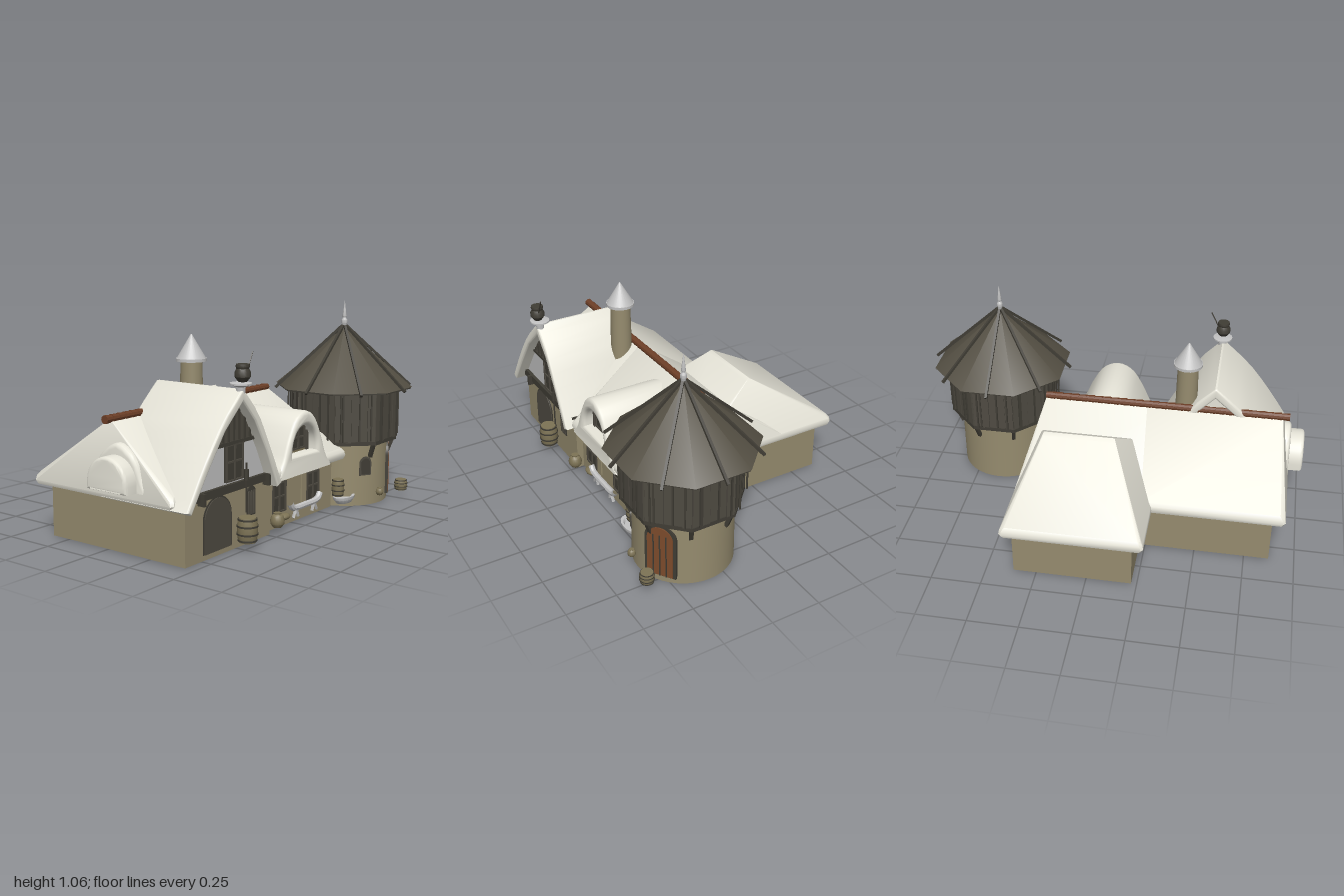
import * as THREE from 'three';
import { toCreasedNormals } from 'three/addons/utils/BufferGeometryUtils.js';
import { ConvexGeometry } from 'three/addons/geometries/ConvexGeometry.js';

const mat = (name, color, side = THREE.FrontSide) => {
  const m = new THREE.MeshStandardMaterial({ color, side });
  m.name = name;
  return m;
};
const wall = mat('tan wall', 0x958b6e, THREE.DoubleSide);
const thatch = mat('pale roof', 0xe6e4d8);
const silver = mat('light grey', 0xc2c2c2);
const timber = mat('dark timber', 0x403d35);
const shingle = mat('tower shingle', 0x544f43);
const plank = mat('tower plank', 0x4f4b42);
const doorWood = mat('door brown', 0x7d4c2c);
const logWood = mat('ridge brown', 0x6d3f27);
const barrelWood = mat('barrel wood', 0x7d7355);

const V = (x, y, z) => new THREE.Vector3(x, y, z);
const V2 = (x, y) => new THREE.Vector2(x, y);

function add(parent, name, geo, material, x = 0, y = 0, z = 0) {
  const m = new THREE.Mesh(toCreasedNormals(geo, 0.6), material);
  m.name = name;
  m.position.set(x, y, z);
  parent.add(m);
  return m;
}
function group(parent, name, x = 0, y = 0, z = 0, ry = 0) {
  const g = new THREE.Group();
  g.name = name;
  g.position.set(x, y, z);
  g.rotation.y = ry;
  parent.add(g);
  return g;
}
// box given by its extents
const box = (p, name, m, x0, x1, y0, y1, z0, z1) => add(p, name,
  new THREE.BoxGeometry(x1 - x0, y1 - y0, z1 - z0), m, (x0 + x1) / 2, (y0 + y1) / 2, (z0 + z1) / 2);
const cyl = (p, name, m, r0, r1, h, x, y, z, n = 24) =>
  add(p, name, new THREE.CylinderGeometry(r1, r0, h, n), m, x, y + h / 2, z);
const lathe = (p, name, m, pts, x, y, z, n = 16) =>
  add(p, name, new THREE.LatheGeometry(pts.map(a => V2(...a)), n), m, x, y, z);
// extrude along z between z0 and z1, bevel included
function slab(p, name, m, shape, z0, z1, b = 0) {
  const geo = new THREE.ExtrudeGeometry(shape, {
    depth: z1 - z0 - 2 * b, curveSegments: 10, bevelEnabled: b > 0,
    bevelThickness: b, bevelSize: b, bevelOffset: -b, bevelSegments: 3 });
  return add(p, name, geo, m, 0, 0, z0 + b);
}
// square beam between two points
function beam(p, name, m, a, b, w) {
  const mesh = add(p, name, new THREE.BoxGeometry(w, w, a.distanceTo(b)), m);
  mesh.position.copy(a).add(b).multiplyScalar(0.5);
  mesh.quaternion.setFromUnitVectors(V(0, 0, 1), b.clone().sub(a).normalize());
  return mesh;
}
// upright arch, base centre at (x, y)
function arch(x, y, w, h, rise, Type = THREE.Shape) {
  const s = new Type();
  s.moveTo(x - w / 2, y);
  s.lineTo(x + w / 2, y);
  s.lineTo(x + w / 2, y + h - rise);
  s.absellipse(x, y + h - rise, w / 2, rise, 0, Math.PI, false);
  s.closePath();
  return s;
}
// bell-shaped dormer outline from its left half
function bell(half, cx) {
  const pts = half.concat(half.slice(0, -1).reverse().map(([x, y]) => [-x, y]));
  return new THREE.Shape(new THREE.SplineCurve(pts.map(([x, y]) => V2(x + cx, y))).getPoints(28));
}
// hipped roof with a soft eave roll
function hipRoof(p, name, x0, x1, z0, z1, rx0, rx1, rz, ry) {
  const pts = [], cx = (x0 + x1) / 2;
  for (const [y, inset] of [[0.258, 0.03], [0.266, 0.008], [0.285, 0], [0.305, 0.004], [0.322, 0.016]])
    for (const x of [x0 + inset, x1 - inset])
      for (const z of [z0 + inset, z1 - inset])
        for (const [dx, dz] of [[0.012, 0], [0, 0.012]])
          pts.push(V(x + dx * Math.sign(cx - x), y, z + dz * Math.sign(rz - z)));
  for (const x of [rx0, rx1])
    for (const [dz, dy] of [[-0.02, 0.012], [0, 0], [0.02, 0.012]]) pts.push(V(x, ry - dy, rz + dz));
  return add(p, name, new ConvexGeometry(pts), thatch);
}
function barrel(p, x, y, z, r, h) {
  const g = group(p, 'barrel', x, y, z);
  lathe(g, 'barrelStaves', barrelWood, [[0, 0], [r * 0.8, 0], [r * 0.95, h * 0.3], [r * 0.95, h * 0.7], [r * 0.8, h], [0, h]], 0, 0, 0);
  for (const [t, k] of [[0.08, 0.9], [0.34, 1], [0.66, 1], [0.92, 0.9]])
    cyl(g, 'barrelHoop', timber, r * k, r * k, h * 0.07, 0, h * (t - 0.035), 0, 16);
}
const jar = (p, x, y, z, r) => lathe(p, 'jar', barrelWood,
  [[0, 0], [r * 0.6, 0], [r * 0.95, r * 0.5], [r, r], [r * 0.8, r * 1.6], [r * 0.5, r * 1.85], [r * 0.55, r * 2], [0, r * 2]], x, y, z);

// window with dark pane and mullions
function casement(p, x, y, z, w, h) {
  const g = group(p, 'window', x, y, z);
  box(g, 'pane', timber, -w / 2, w / 2, 0, h, -0.014, 0.004);
  for (const i of [-1, 0, 1]) box(g, 'mullion', plank, i * w * 0.46 - 0.005, i * w * 0.46 + 0.005, 0, h, 0, 0.01);
  for (const t of [0, 0.5, 0.95]) box(g, 'windowBar', plank, -w / 2, w / 2, h * t, h * t + 0.008, 0, 0.01);
}

function buildHouse(root) {
  const g = group(root, 'house');
  // hollow wall shell, open underneath
  const plan = [[-0.87, 0.455], [-0.25, 0.455], [-0.25, 0.42], [0.36, 0.42], [0.36, -0.63], [-0.22, -0.63], [-0.22, -0.34], [-0.87, -0.34]];
  plan.forEach(([x, z], i) => {
    const [u, w] = plan[(i + 1) % plan.length], t = 0.003;
    box(g, 'wall', wall, Math.min(x, u) - t, Math.max(x, u) + t, 0.01, 0.29, Math.min(z, w) - t, Math.max(z, w) + t);
  });
  box(g, 'ceiling', silver, -0.868, 0.358, 0.25, 0.26, -0.338, 0.418);
  box(g, 'gableCeiling', silver, -0.868, -0.252, 0.25, 0.26, 0.418, 0.453);
  box(g, 'wingCeiling', silver, -0.218, 0.358, 0.25, 0.26, -0.628, -0.338);
  hipRoof(g, 'mainRoofLeft', -0.935, -0.2, -0.4, 0.44, -0.88, -0.2, 0.04, 0.61);
  hipRoof(g, 'mainRoofRight', -0.25, 0.41, -0.4, 0.485, -0.3, 0.32, 0.04, 0.61);
  hipRoof(g, 'backWingRoof', -0.285, 0.41, -0.7, 0.16, -0.08, 0.27, -0.265, 0.6);

  // ridge covering in short overlapping lengths
  const n = 30, step = 1.23 / n;
  for (let i = 0; i < n; i++) {
    const m = add(g, 'ridgeCap', new THREE.CylinderGeometry(0.02, 0.017, step * 1.15, 10), logWood, -0.91 + (i + 0.5) * step, 0.612, 0.04);
    m.rotation.z = Math.PI / 2;
  }
  // chimney
  cyl(g, 'chimney', wall, 0.058, 0.052, 0.4, -0.39, 0.43, 0.105);
  cyl(g, 'chimneyRim', silver, 0.073, 0.073, 0.014, -0.39, 0.824, 0.105);
  cyl(g, 'chimneyCap', silver, 0.07, 0.003, 0.113, -0.39, 0.837, 0.105);

  // ground floor windows with shutters
  for (const x of [-0.125, 0.175]) {
    casement(g, x, 0.085, 0.424, 0.115, 0.15);
    for (const s of [-1, 1]) box(g, 'shutter', wall, x + s * 0.08 - 0.02, x + s * 0.08 + 0.02, 0.08, 0.24, 0.42, 0.43);
  }
}

function buildFrontGable(root) {
  const g = group(root, 'frontGable');
  // bowed roof band
  const outer = new THREE.SplineCurve([V2(-0.93, 0.27), V2(-0.82, 0.44), V2(-0.69, 0.61), V2(-0.545, 0.745)]).getPoints(8)
    .concat(new THREE.SplineCurve([V2(-0.535, 0.745), V2(-0.42, 0.62), V2(-0.32, 0.44), V2(-0.23, 0.27)]).getPoints(8));
  const inner = [V2(-0.265, 0.255), V2(-0.355, 0.44), V2(-0.45, 0.595), V2(-0.54, 0.69), V2(-0.67, 0.575), V2(-0.795, 0.41), V2(-0.9, 0.255)];
  slab(g, 'gableRoof', thatch, new THREE.Shape([...outer, ...inner]), 0.02, 0.52, 0.01);
  slab(g, 'gableBack', thatch, new THREE.Shape([V2(-0.355, 0.44), V2(-0.45, 0.595), V2(-0.54, 0.69), V2(-0.67, 0.575), V2(-0.795, 0.41)]), 0.042, 0.06);
  slab(g, 'plaster', silver, new THREE.Shape([V2(-0.265, 0.28), V2(-0.385, 0.5), V2(-0.725, 0.5), V2(-0.885, 0.28)]), 0.42, 0.458);
  slab(g, 'gableBoards', plank, new THREE.Shape([V2(-0.37, 0.5), V2(-0.45, 0.6), V2(-0.54, 0.7), V2(-0.67, 0.58), V2(-0.74, 0.5)]), 0.42, 0.464);
  for (let x = -0.7; x < -0.39; x += 0.04)
    box(g, 'gableBatten', timber, x - 0.005, x + 0.005, 0.5, 0.69 - Math.abs(x + 0.54), 0.455, 0.47);
  box(g, 'gableBeam', timber, -0.87, -0.25, 0.283, 0.32, 0.44, 0.475);
  box(g, 'upperBeam', timber, -0.74, -0.37, 0.495, 0.512, 0.44, 0.472);
  for (const x of [-0.78, -0.3]) box(g, 'bracket', timber, x - 0.008, x + 0.008, 0.265, 0.32, 0.45, 0.495);
  casement(g, -0.535, 0.33, 0.462, 0.13, 0.17);
  // arched cart door and small arched window
  slab(g, 'archedDoor', timber, arch(-0.65, 0.035, 0.205, 0.248, 0.1), 0.445, 0.461);
  slab(g, 'archedDoorBoards', plank, arch(-0.65, 0.035, 0.19, 0.24, 0.093), 0.459, 0.465);
  slab(g, 'archedWindow', timber, arch(-0.4, 0.14, 0.065, 0.14, 0.035), 0.445, 0.463);
  for (const x of [-0.42, -0.4, -0.38]) slab(g, 'lancetPane', plank, arch(x, 0.147, 0.013, 0.11, 0.007), 0.461, 0.467);
  // hanging lantern
  box(g, 'lanternRod', timber, -0.468, -0.462, 0.17, 0.4, 0.478, 0.484);
  cyl(g, 'lantern', timber, 0.011, 0.011, 0.05, -0.465, 0.32, 0.481, 8);
  // pot on the gable peak
  lathe(g, 'peakCollar', silver, [[0, 0.72], [0.02, 0.72], [0.022, 0.755], [0.05, 0.765], [0.05, 0.772], [0, 0.782]], -0.535, 0, 0.5);
  lathe(g, 'peakPot', timber, [[0, 0.776], [0.02, 0.778], [0.036, 0.8], [0.036, 0.82], [0.028, 0.836], [0.032, 0.845], [0.03, 0.856], [0, 0.856]], -0.535, 0, 0.51);
  beam(g, 'peakStick', timber, V(-0.51, 0.82, 0.515), V(-0.468, 0.905, 0.515), 0.005);
}

function buildDormers(root) {
  // eyebrow dormer running back into the main roof
  const g = group(root, 'eyebrowDormer');
  const front = bell([[-0.25, 0.265], [-0.19, 0.33], [-0.14, 0.44], [-0.08, 0.535], [0, 0.57]], 0.02);
  front.holes.push(arch(0.02, 0.36, 0.22, 0.14, 0.125, THREE.Path));
  slab(g, 'dormerRoof', thatch, front, 0.08, 0.488, 0.02);
  slab(g, 'dormerWall', barrelWood, arch(0.02, 0.34, 0.27, 0.18, 0.15), 0.42, 0.43);
  casement(g, 0.02, 0.375, 0.434, 0.12, 0.11);
  for (const s of [-1, 1]) box(g, 'dormerPost', plank, 0.02 + s * 0.085 - 0.008, 0.02 + s * 0.085 + 0.008, 0.36, 0.46, 0.43, 0.44);
  // rounded dormer on the end wall, facing -x
  const e = group(root, 'endDormer', 0, 0, 0.12, -Math.PI / 2);
  slab(e, 'endDormerFlare', thatch, bell([[-0.2, 0.28], [-0.15, 0.36], [-0.1, 0.46], [0, 0.52]], 0), 0.82, 0.93, 0.02);
  const ring = arch(0, 0.315, 0.235, 0.155, 0.12);
  ring.holes.push(arch(0, 0.335, 0.15, 0.105, 0.08, THREE.Path));
  slab(e, 'endDormerRoof', thatch, ring, 0.82, 1, 0.015);
  slab(e, 'endDormerPane', silver, arch(0, 0.33, 0.16, 0.12, 0.08), 0.955, 0.964);
}

function buildTower(root) {
  const g = group(root, 'tower', 0.625, 0, 0.33);
  const eighth = Math.PI / 4, corner = 1 / Math.cos(eighth / 2);
  add(g, 'towerWall', new THREE.CylinderGeometry(0.24, 0.242, 0.335, 40, 1, true), wall, 0, 0.1725, 0);
  const ring = (name, m, a, h, y) => { cyl(g, name, m, a * corner, a * corner, h, 0, y, 0, 8).rotation.y = eighth / 2; };
  ring('upperStorey', plank, 0.26, 0.28, 0.335);
  ring('lowerRim', timber, 0.268, 0.02, 0.33);
  ring('eaveBoard', timber, 0.333, 0.01, 0.605);
  const roof = add(g, 'towerRoof', new THREE.ConeGeometry(0.338 * corner, 0.31, 8), shingle, 0, 0.768, 0);
  roof.rotation.y = eighth / 2;
  for (let i = 0; i < 8; i++) {
    // one side: boards, battens, hanging posts and roof rib
    const side = group(g, 'towerSide', 0, 0, 0, i * eighth);
    for (let j = -2; j <= 2; j++) {
      const x = j * 0.043, out = 0.264 + ((i * 3 + j * 2 + 4) % 3) * 0.002;
      box(side, 'board', plank, x - 0.0205, x + 0.0205, 0.345, 0.61, 0.25, out);
    }
    for (const x of [-0.065, 0.022]) box(side, 'batten', timber, x - 0.004, x + 0.004, 0.35, 0.61, 0.262, 0.273);
    for (const x of [-0.08, 0.08]) box(side, 'hangingPost', timber, x - 0.004, x + 0.004, 0.355, 0.61, 0.278, 0.286);
    beam(side, 'roofRib', timber, V(0, 0.606, 0.37), V(0, 0.93, 0.012), 0.013);
    // brace under each corner
    const brace = group(g, 'towerBrace', 0, 0, 0, (i + 0.5) * eighth);
    beam(brace, 'brace', timber, V(0, 0.262, 0.243), V(0, 0.345, 0.275), 0.018);
  }
  lathe(g, 'finial', silver, [[0.012, 0.9], [0.01, 0.93], [0.015, 0.945], [0.015, 0.96], [0.008, 0.972], [0.011, 0.98], [0.006, 1.02], [0, 1.068]], 0, 0, 0, 12);
  // arched door
  const d = group(g, 'towerDoor', 0, 0, 0, 0.6);
  slab(d, 'doorFrame', timber, arch(0, 0.035, 0.156, 0.285, 0.078), 0.215, 0.243);
  slab(d, 'doorLeaf', doorWood, arch(0, 0.04, 0.128, 0.265, 0.064), 0.24, 0.248);
  for (const x of [-0.032, 0, 0.032]) box(d, 'doorGroove', timber, x - 0.003, x + 0.003, 0.04, 0.265, 0.245, 0.251);
  // small arched window
  const w = group(g, 'towerWindow', 0, 0, 0, -0.5);
  slab(w, 'windowFrame', plank, arch(0, 0.165, 0.07, 0.1, 0.035), 0.225, 0.243);
  slab(w, 'windowPane', timber, arch(0, 0.172, 0.05, 0.083, 0.025), 0.24, 0.247);
}

function buildYard(root) {
  const g = group(root, 'yard');
  barrel(g, -0.495, 0.045, 0.51, 0.05, 0.115);
  barrel(g, 0.372, 0.07, 0.46, 0.034, 0.09);
  barrel(g, 0.78, 0.045, 0.61, 0.036, 0.058);
  jar(g, -0.22, 0.045, 0.485, 0.035);
  jar(g, 0.59, 0.05, 0.585, 0.02);
  add(g, 'sack', new THREE.SphereGeometry(0.04, 14, 10), barrelWood, -0.11, 0.065, 0.45).scale.set(1, 0.42, 0.6);
  // bench with curled ends
  const curve = new THREE.CatmullRomCurve3([V(-0.075, 0.125, 0.46), V(-0.055, 0.1, 0.46), V(0.06, 0.092, 0.46), V(0.175, 0.1, 0.46), V(0.195, 0.125, 0.46)]);
  add(g, 'benchSeat', new THREE.TubeGeometry(curve, 20, 0.016, 8), silver);
  for (const s of [-1, 1]) for (const t of [-1, 1])
    beam(g, 'benchLeg', silver, V(0.06 + s * 0.08, 0.095, 0.46), V(0.06 + s * 0.085 + t * 0.022, 0.045, 0.46), 0.011);
  // stone trough
  lathe(g, 'trough', silver, [[0, 0.03], [0.055, 0.035], [0.075, 0.055], [0.078, 0.07], [0.06, 0.07], [0.05, 0.055], [0, 0.055]], 0.4, 0, 0.48).scale.z = 0.6;
}

export function createModel() {
  const root = new THREE.Group();
  root.name = 'cottageWithTower';
  for (const build of [buildHouse, buildFrontGable, buildDormers, buildTower, buildYard]) build(root);
  return root;
}
